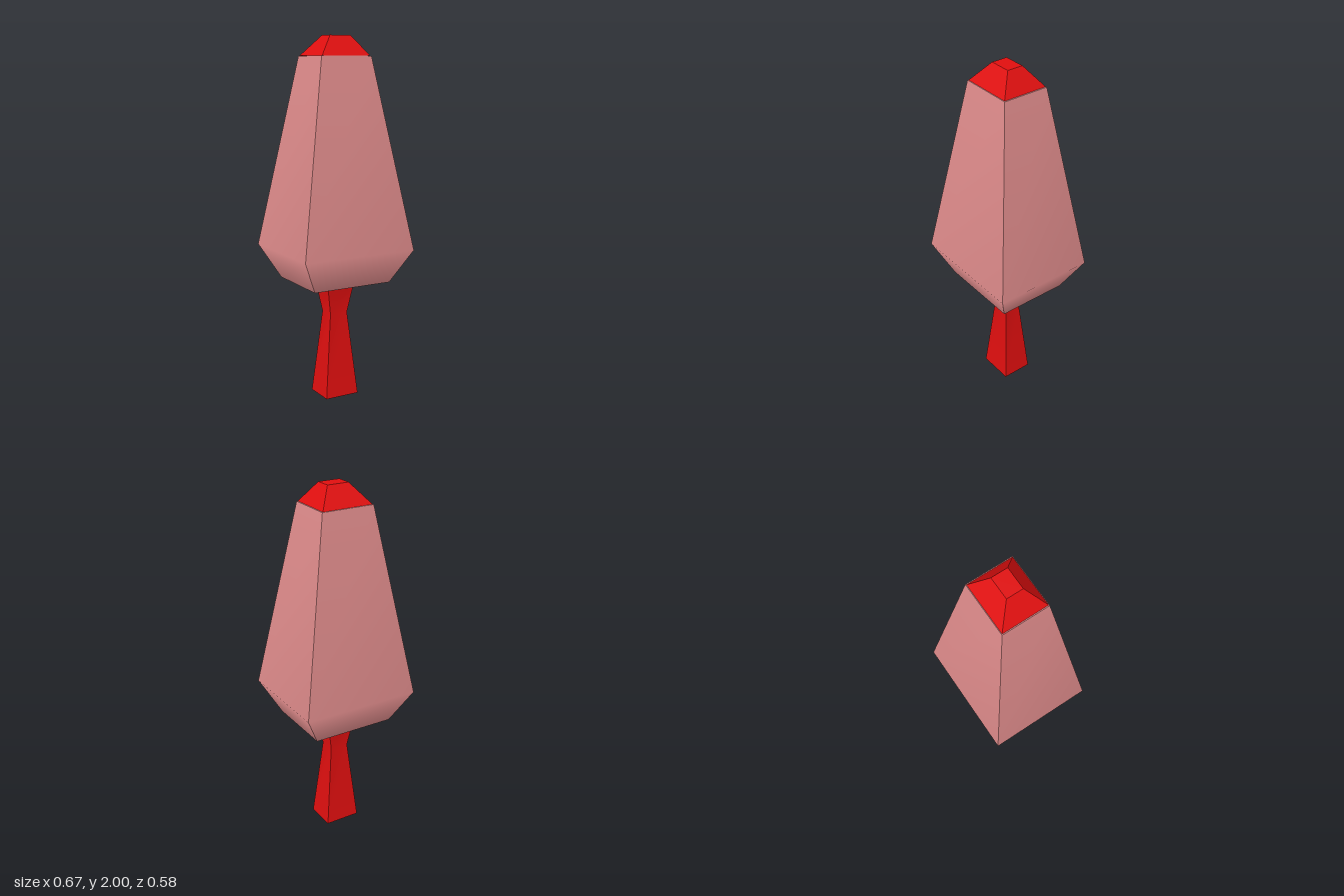
import * as THREE from 'three';

// Lofts rectangular rings [y, halfX, halfZ, centreX, centreZ], bottom to top.
// Each side is its own smooth strip, so the corners stay sharp.
function loft(name, color, rings) {
  const pos = [], idx = [];
  const corners = [[-1, 1], [1, 1], [1, -1], [-1, -1]];
  const add = ([y, hx, hz, cx = 0, cz = 0], [sx, sz]) => pos.push(cx + sx * hx, y, cz + sz * hz);
  for (let s = 0; s < 4; s++) {
    const base = pos.length / 3;
    rings.forEach((ring, i) => {
      add(ring, corners[s]);
      add(ring, corners[(s + 1) % 4]);
      const a = base + i * 2;
      if (i < rings.length - 1) idx.push(a, a + 1, a + 3, a, a + 3, a + 2);
    });
  }
  // Flat end faces
  const b = pos.length / 3;
  corners.forEach((c) => add(rings[0], c));
  corners.forEach((c) => add(rings[rings.length - 1], c));
  idx.push(b, b + 2, b + 1, b, b + 3, b + 2, b + 4, b + 5, b + 6, b + 4, b + 6, b + 7);

  const geo = new THREE.BufferGeometry();
  geo.setAttribute('position', new THREE.Float32BufferAttribute(pos, 3));
  geo.setIndex(idx);
  geo.computeVertexNormals();
  const mesh = new THREE.Mesh(geo, new THREE.MeshStandardMaterial({ color }));
  mesh.name = name;
  return mesh;
}

export function createModel() {
  const model = new THREE.Group();
  model.name = 'tree';
  const red = 0xe00f0f, pink = 0xe08c8c;

  // Waisted trunk
  model.add(loft('trunk', red, [[0, 0.101, 0.087], [0.475, 0.053, 0.046], [0.657, 0.085, 0.073]]));
  // Tapering crown with a bevelled underside
  model.add(loft('crown', pink, [[0.66, 0.234, 0.2], [0.847, 0.335, 0.288], [1.892, 0.151, 0.13]]));
  // Slightly off-centre tip
  model.add(loft('tip', red, [[1.893, 0.146, 0.127], [2, 0.062, 0.045, 0.007, 0.003]]));
  return model;
}
